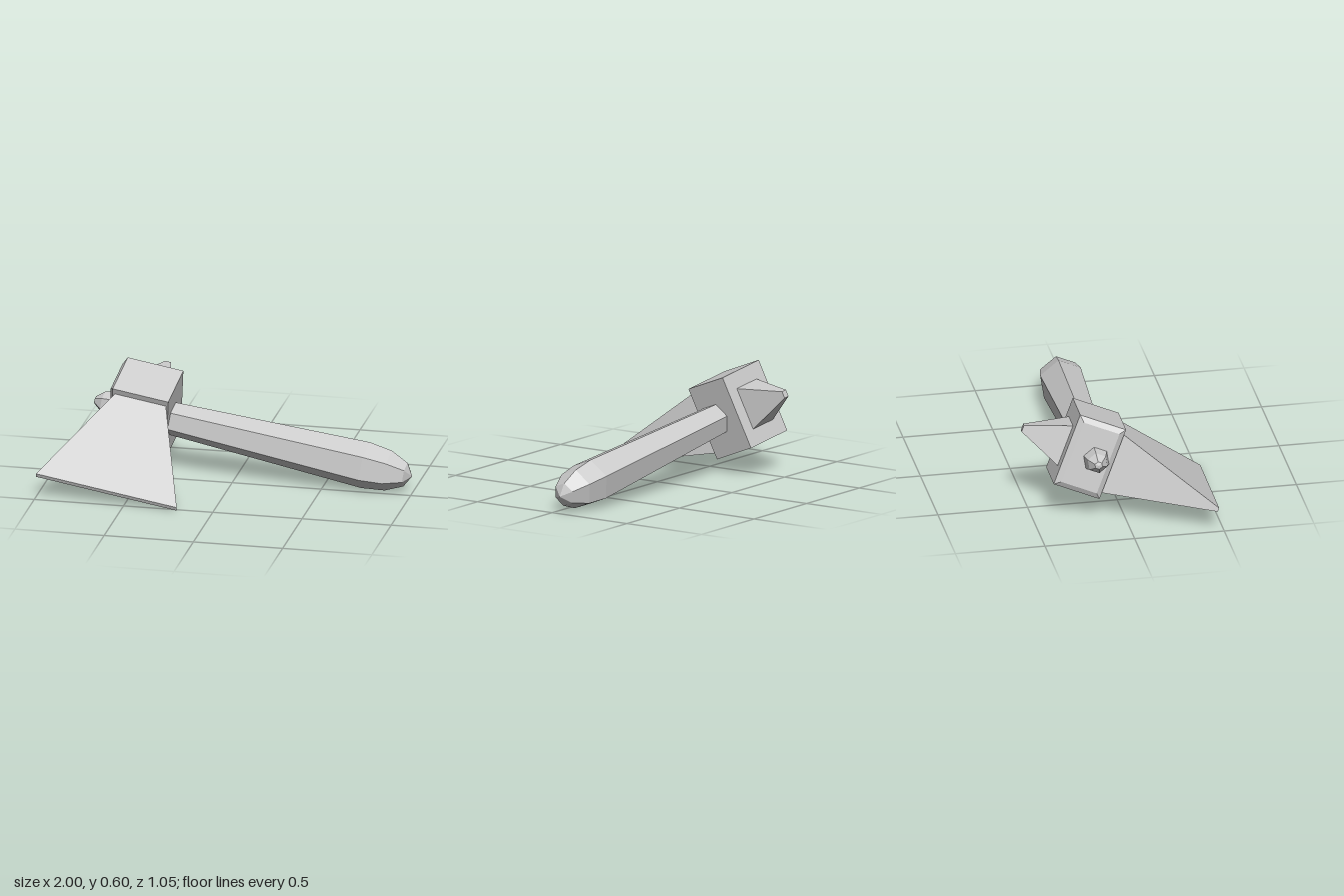
import * as THREE from 'three';

const material = new THREE.MeshStandardMaterial({ color: 0xcccccc, flatShading: true });

function part(name, geometry, parent) {
  const mesh = new THREE.Mesh(geometry, material);
  mesh.name = name;
  parent.add(mesh);
  return mesh;
}

// Block tapering from w0 x h0 at z = 0 to w1 x h1 at z = depth
function taperedBlock(w0, h0, w1, h1, depth) {
  const geometry = new THREE.BoxGeometry(1, 1, 1);
  const p = geometry.attributes.position;
  for (let i = 0; i < p.count; i++) {
    const far = p.getZ(i) > 0;
    p.setXYZ(i, p.getX(i) * (far ? w1 : w0), p.getY(i) * (far ? h1 : h0), far ? depth : 0);
  }
  geometry.computeVertexNormals();
  return geometry;
}

export function createModel() {
  const model = new THREE.Group();
  model.name = 'axe';

  // The axe is built with its handle along x and its blade towards +z, then laid down tilted
  const axe = new THREE.Group();
  axe.name = 'tiltedAxe';
  const along = new THREE.Vector3(0.987, -0.148, 0.062).normalize();
  const blade = new THREE.Vector3(-0.113, -0.366, 0.924);
  blade.addScaledVector(along, -blade.dot(along)).normalize();
  const up = new THREE.Vector3().crossVectors(blade, along);
  axe.quaternion.setFromRotationMatrix(new THREE.Matrix4().makeBasis(along, up, blade));
  axe.position.set(-0.52, 0.323, -0.144);
  model.add(axe);

  // Six-sided handle: small stub behind the head, swelling to a rounded grip end
  const profile = [
    [0, -0.29], [0.022, -0.285], [0.058, -0.24], [0.08, -0.16],
    [0.093, 0.16], [0.131, 1.27], [0.114, 1.4], [0.067, 1.5], [0, 1.538],
  ].map(([r, t]) => new THREE.Vector2(r, t));
  part('handle', new THREE.LatheGeometry(profile, 6).rotateZ(-Math.PI / 2), axe);

  // Head block with a shallow bevelled end plate
  part('headBlock', new THREE.BoxGeometry(0.32, 0.417, 0.27), axe).position.z = -0.035;
  const plate = taperedBlock(0.27, 0.417, 0.21, 0.357, 0.02).rotateY(-Math.PI / 2);
  part('headEndPlate', plate, axe).position.set(-0.16, 0, -0.035);

  // Wide blade in front, spike behind
  part('blade', taperedBlock(0.294, 0.35, 0.81, 0.022, 0.59), axe).position.z = 0.1;
  const spike = taperedBlock(0.175, 0.24, 0.034, 0.038, 0.241).rotateY(Math.PI);
  part('backSpike', spike, axe).position.z = -0.17;

  return model;
}
